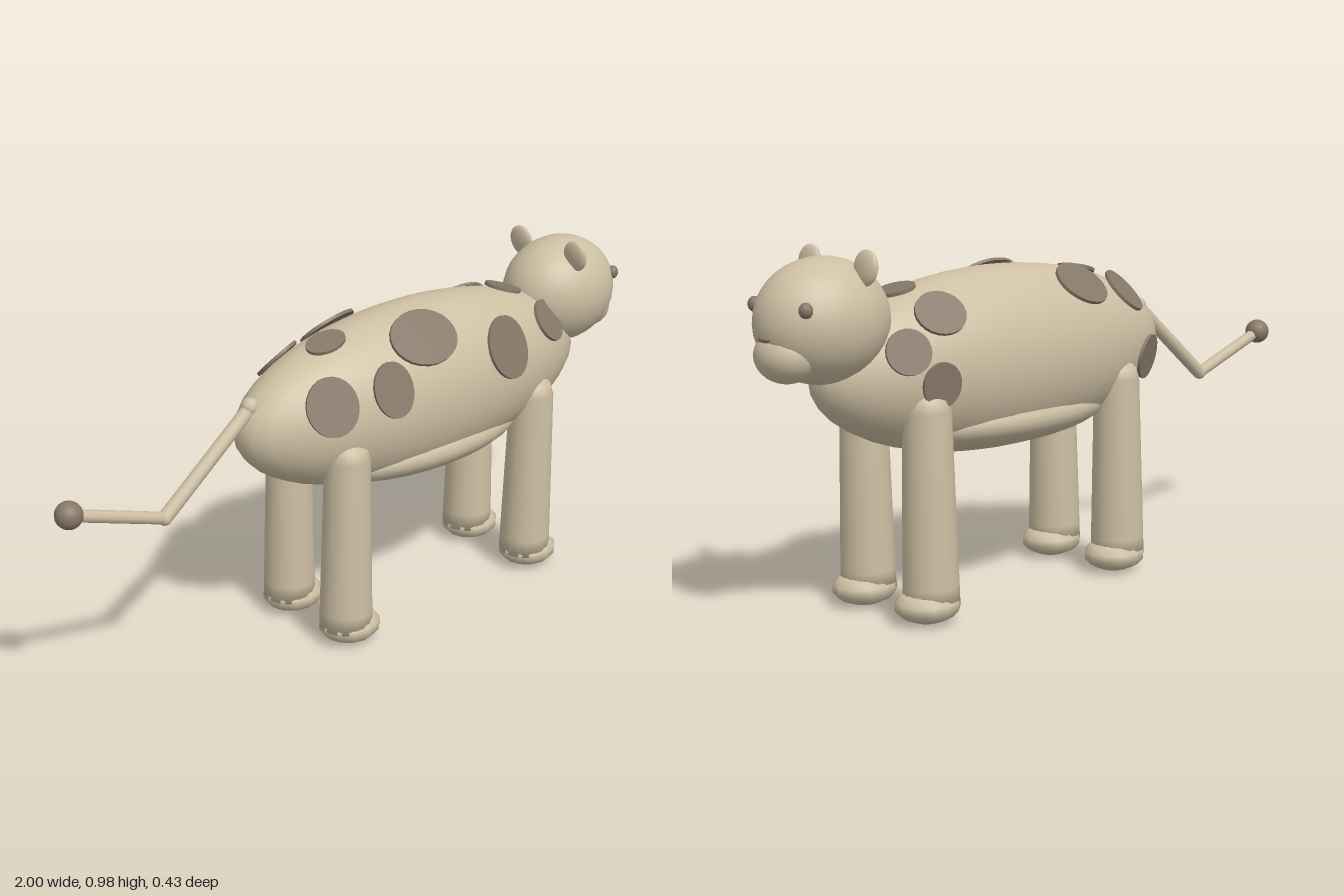
import * as THREE from 'three';

export function createModel() {
  const model = new THREE.Group();
  model.name = 'spottedCat';
  const tan = new THREE.MeshStandardMaterial({ color: 0xcdbfa3 });
  tan.name = 'tan fur';
  const brown = new THREE.MeshStandardMaterial({ color: 0x877868 });
  brown.name = 'brown markings';

  function add(name, geometry, material, x = 0, y = 0, z = 0) {
    const mesh = new THREE.Mesh(geometry, material);
    mesh.name = name;
    mesh.position.set(x, y, z);
    model.add(mesh);
    return mesh;
  }
  function ellipsoid(name, material, [x, y, z], [rx, ry, rz], segs = 28, rings = 18) {
    const geometry = new THREE.SphereGeometry(1, segs, rings).scale(rx, ry, rz);
    return add(name, geometry, material, x, y, z);
  }
  function rod(name, a, b, r) {
    const from = new THREE.Vector3(...a), to = new THREE.Vector3(...b);
    const mesh = add(name, new THREE.CylinderGeometry(r, r, from.distanceTo(to), 12), tan);
    mesh.position.copy(from).lerp(to, 0.5);
    mesh.quaternion.setFromUnitVectors(new THREE.Vector3(0, 1, 0), to.sub(from).normalize());
  }

  // Body with a fuller belly
  const centre = new THREE.Vector3(0.205, 0.65, 0);
  const radii = new THREE.Vector3(0.63, 0.25, 0.208);
  ellipsoid('body', tan, centre.toArray(), radii.toArray(), 32, 20);
  ellipsoid('belly', tan, [0.205, 0.495, 0], [0.4, 0.085, 0.188]);

  // Head, muzzle and nose
  ellipsoid('head', tan, [0.805, 0.803, 0], [0.185, 0.161, 0.151]);
  ellipsoid('muzzle', tan, [0.92, 0.727, 0], [0.075, 0.07, 0.088]);
  ellipsoid('nose', brown, [0.984, 0.774, 0], [0.014, 0.009, 0.022], 12, 8);

  for (const s of [-1, 1]) {
    const ear = ellipsoid('ear', tan, [0.753, 0.937, 0.109 * s], [0.015, 0.046, 0.043], 20, 14);
    ear.rotation.z = 0.12;
    ellipsoid('eye', brown, [0.935, 0.847, 0.1 * s], [0.018, 0.02, 0.018], 14, 10);

    // Legs with rounded shoulders and broad paws
    for (const x of [-0.157, 0.567]) {
      const profile = [[0, 0.05], [0.076, 0.05], [0.075, 0.1], [0.064, 0.56], [0.055, 0.59], [0.03, 0.615], [0, 0.627]]
        .map(([r, y]) => new THREE.Vector2(r, y));
      const leg = add('leg', new THREE.LatheGeometry(profile, 18), tan, x - 0.004, 0, 0.125 * s);
      leg.rotation.z = -0.015;
      ellipsoid('paw', tan, [x + 0.01, 0.05, 0.125 * s], [0.092, 0.047, 0.085], 12, 7);
    }
  }

  // Bent tail with a round tip
  rod('tailBase', [-0.375, 0.74, 0], [-0.675, 0.5, 0], 0.02);
  rod('tailEnd', [-0.675, 0.5, 0], [-0.965, 0.6, 0], 0.017);
  ellipsoid('tailRoot', tan, [-0.385, 0.735, 0], [0.025, 0.025, 0.025], 12, 8);
  ellipsoid('tailBend', tan, [-0.675, 0.5, 0], [0.02, 0.02, 0.02], 12, 8);
  ellipsoid('tailTip', brown, [-0.963, 0.6, 0], [0.037, 0.037, 0.037], 18, 12);

  // Flat spots resting on the body: x, y, z, radius along, radius across
  const spots = [
    [-0.22, 0.73, 0.14, 0.075, 0.082], [-0.03, 0.74, 0.175, 0.062, 0.078],
    [0.12, 0.84, 0.13, 0.11, 0.085], [0.405, 0.755, 0.175, 0.08, 0.092],
    [0.65, 0.77, 0.12, 0.065, 0.065], [-0.14, 0.86, 0.02, 0.06, 0.046],
    [-0.215, 0.8, -0.095, 0.065, 0.075], [-0.015, 0.84, -0.12, 0.092, 0.075],
    [0.535, 0.81, -0.13, 0.072, 0.065], [0.555, 0.855, 0.005, 0.052, 0.056],
    [0.65, 0.72, -0.14, 0.062, 0.06], [0.57, 0.63, -0.175, 0.055, 0.06],
    [-0.27, 0.61, -0.13, 0.065, 0.065],
  ];
  for (const [x, y, z, along, across] of spots) {
    const p = new THREE.Vector3(x, y, z).sub(centre);
    p.divideScalar(p.clone().divide(radii).length());
    const normal = p.clone().divide(radii).divide(radii).normalize();
    const side = new THREE.Vector3(1, 0, 0).cross(normal).normalize();
    const forward = normal.clone().cross(side).normalize();
    const disc = new THREE.CylinderGeometry(1, 1, 0.009, 24).scale(along, 1, across);
    const spot = add('spot', disc, brown);
    spot.position.copy(centre).add(p).addScaledVector(normal, 0.003);
    spot.quaternion.setFromRotationMatrix(
      new THREE.Matrix4().makeBasis(forward, normal, forward.clone().cross(normal)));
  }
  return model;
}
